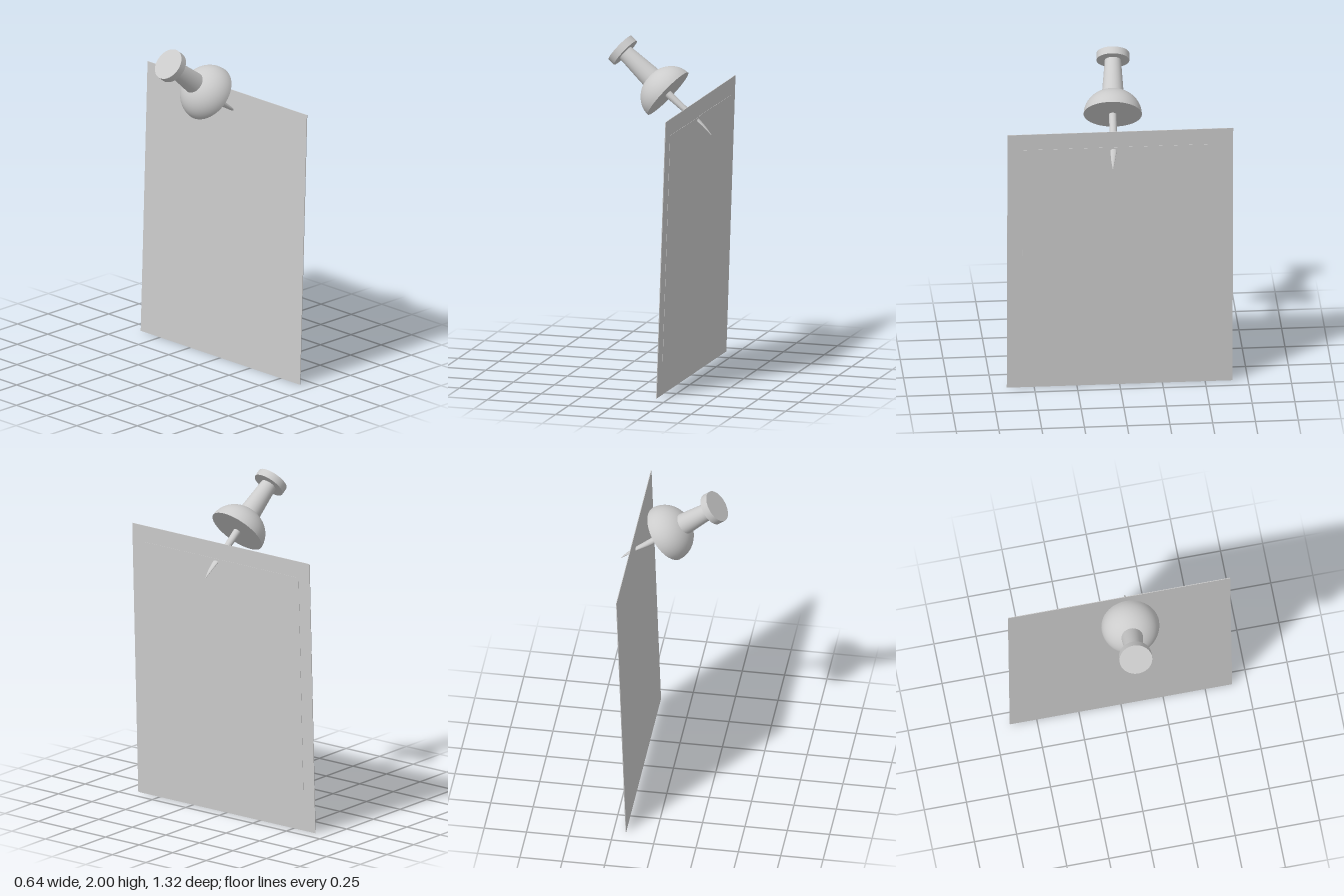
import * as THREE from 'three';

const material = new THREE.MeshStandardMaterial({ color: 0xcccccc });

function addMesh(parent, name, geometry, x = 0, y = 0, z = 0) {
  const mesh = new THREE.Mesh(geometry, material);
  mesh.name = name;
  mesh.position.set(x, y, z);
  parent.add(mesh);
  return mesh;
}

// Needle: round at the root, then bent down and flattened towards the tip
function needleGeometry() {
  const path = new THREE.CatmullRomCurve3([
    [0.03, 1.69, 0.029], [0.15, 1.594, 0.035], [0.24, 1.529, 0.041],
    [0.285, 1.488, 0.046], [0.316, 1.455, 0.049],
  ].map((p) => new THREE.Vector3(...p)));
  const widths = [0.023, 0.021, 0.018, 0.011, 0.002];
  const depths = [0.023, 0.018, 0.007, 0.005, 0.002];
  const sample = (list, t) => {
    const i = Math.min(Math.floor(t * 4), 3);
    return THREE.MathUtils.lerp(list[i], list[i + 1], t * 4 - i);
  };
  const geometry = new THREE.CylinderGeometry(1, 1, 1, 24, 24);
  const pos = geometry.attributes.position;
  for (let i = 0; i < pos.count; i++) {
    const t = THREE.MathUtils.clamp(0.5 - pos.getY(i), 0, 1);
    const centre = path.getPoint(t);
    const dir = path.getTangent(t);
    const side = new THREE.Vector3(-dir.y, dir.x, 0).normalize();
    centre.addScaledVector(side, pos.getX(i) * sample(depths, t));
    centre.z += pos.getZ(i) * sample(widths, t);
    pos.setXYZ(i, centre.x, centre.y, centre.z);
  }
  geometry.computeVertexNormals();
  return geometry;
}

export function createModel() {
  const model = new THREE.Group();
  model.name = 'pinnedPhoto';

  // Photo card, leaning slightly, with a barely raised picture panel
  const card = new THREE.Group();
  card.name = 'photoCard';
  card.position.set(0.206, 0.828, 0);
  card.rotation.z = -0.034;
  addMesh(card, 'cardSheet', new THREE.BoxGeometry(0.004, 1.655, 1.32));
  addMesh(card, 'picturePanel', new THREE.BoxGeometry(0.003, 1.365, 1.15), 0.002, 0.045, -0.003);
  model.add(card);

  // Push pin grip, built upright from the dome's flat base and then tilted
  const pin = new THREE.Group();
  pin.name = 'pushPin';
  pin.position.set(0.045, 1.679, 0.03);
  pin.quaternion.setFromUnitVectors(
    new THREE.Vector3(0, 1, 0), new THREE.Vector3(-0.77, 0.636, -0.063).normalize());

  const domeProfile = [];
  for (let i = 0; i <= 16; i++) {
    const a = (i / 16) * Math.PI / 2;
    domeProfile.push(new THREE.Vector2(Math.max(0.17 * Math.cos(a), 0), 0.15 * Math.sin(a)));
  }
  addMesh(pin, 'dome', new THREE.LatheGeometry(domeProfile, 48));
  addMesh(pin, 'domeBase', new THREE.CircleGeometry(0.17, 48)).rotation.x = Math.PI / 2;
  addMesh(pin, 'stem', new THREE.CylinderGeometry(0.046, 0.065, 0.25, 32), 0, 0.245, 0);
  addMesh(pin, 'head', new THREE.CylinderGeometry(0.096, 0.096, 0.045, 48), 0, 0.37, 0);
  model.add(pin);

  addMesh(model, 'needle', needleGeometry());
  return model;
}
